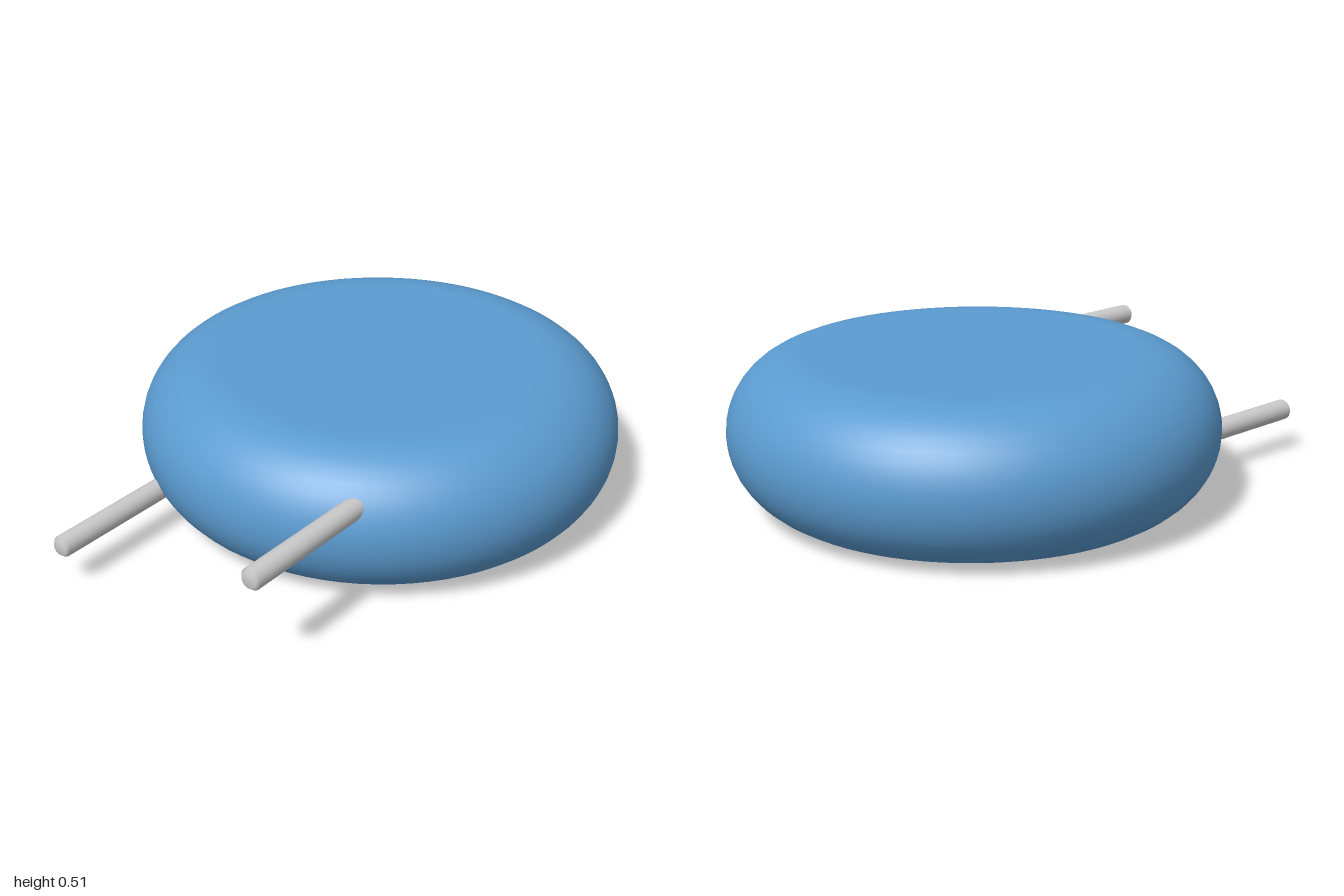
import * as THREE from 'three';

const HEIGHT = 0.515;
const RADIUS = 0.833;
const BODY_Z = -0.167;

export function createModel() {
  const model = new THREE.Group();
  model.name = 'discComponent';
  const blue = new THREE.MeshStandardMaterial({ color: 0x5b9bd0 });
  const grey = new THREE.MeshStandardMaterial({ color: 0xcccccc });

  // Disc body: flat faces joined by a fully rounded rim
  const r = HEIGHT / 2;
  const flat = RADIUS - r;
  const profile = [new THREE.Vector2(0, 0), new THREE.Vector2(flat - 0.01, 0)];
  const steps = 20;
  for (let i = 0; i <= steps; i++) {
    const a = -Math.PI / 2 + (Math.PI * i) / steps;
    profile.push(new THREE.Vector2(flat + r * Math.cos(a), r + r * Math.sin(a)));
  }
  profile.push(new THREE.Vector2(flat - 0.01, HEIGHT), new THREE.Vector2(0, HEIGHT));
  const body = new THREE.Mesh(new THREE.LatheGeometry(profile, 80), blue);
  body.name = 'discBody';
  body.position.z = BODY_Z;
  model.add(body);

  // Wire leads: parallel pins at staggered heights, tips slightly chamfered
  const wire = 0.037;
  const start = 0.35;
  const length = 1 - start;
  const leadProfile = [
    [0, 0], [wire, 0], [wire, length - 0.012], [wire - 0.01, length], [0, length],
  ].map(([x, y]) => new THREE.Vector2(x, y));
  const leadGeometry = new THREE.LatheGeometry(leadProfile, 24);
  leadGeometry.rotateX(Math.PI / 2);
  for (const [name, x, y] of [['leftLead', 0.404, 0.37], ['rightLead', -0.404, 0.154]]) {
    const lead = new THREE.Mesh(leadGeometry, grey);
    lead.name = name;
    lead.position.set(x, y, start);
    model.add(lead);
  }

  return model;
}
